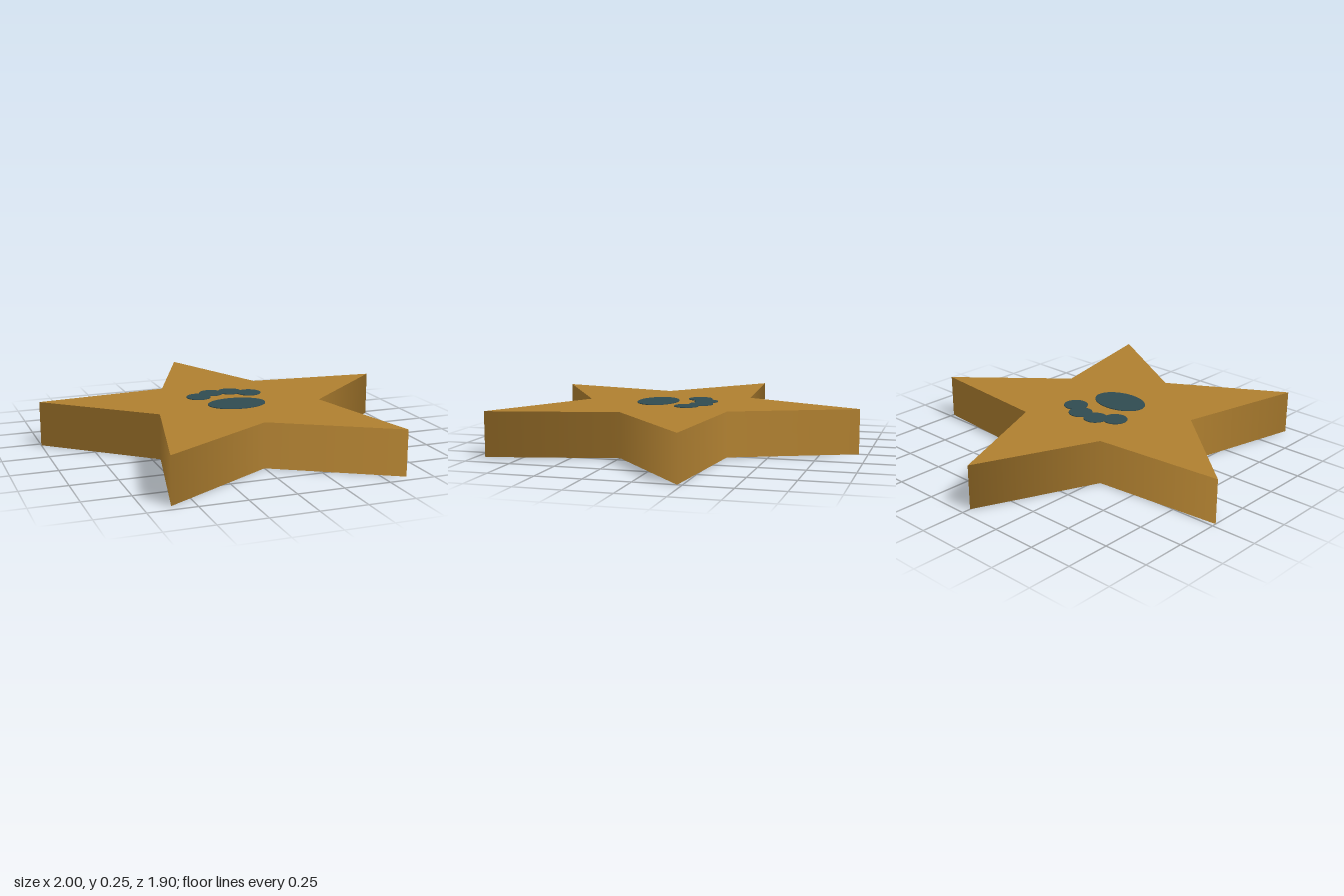
import * as THREE from 'three';

const HEIGHT = 0.246;
const OUTER = 1.0515, INNER = 0.48, CENTER_Z = 0.1;

const gold = new THREE.MeshStandardMaterial({ color: 0xb08030 });
gold.name = 'gold';
const slate = new THREE.MeshStandardMaterial({ color: 0x304b51 });
slate.name = 'darkTeal';

// Five-pointed slab with one tip towards the back and softly shaded walls
function makeStar() {
  const points = [];
  for (let i = 0; i < 10; i++) {
    const a = Math.PI / 2 + (i * Math.PI) / 5;
    const r = i % 2 ? INNER : OUTER;
    points.push(new THREE.Vector2(r * Math.cos(a), r * Math.sin(a)));
  }
  const geo = new THREE.ExtrudeGeometry(new THREE.Shape(points), { depth: HEIGHT, bevelEnabled: false });
  geo.rotateX(-Math.PI / 2);
  // wall normals radiate from the centre so shading flows round the rim
  const pos = geo.attributes.position, nor = geo.attributes.normal;
  for (let i = 0; i < pos.count; i++) {
    if (Math.abs(nor.getY(i)) > 0.5) continue;
    const n = new THREE.Vector3(pos.getX(i), 0, pos.getZ(i)).normalize();
    nor.setXYZ(i, n.x, n.y, n.z);
  }
  const mesh = new THREE.Mesh(geo, gold);
  mesh.name = 'starBody';
  mesh.position.z = CENTER_Z;
  return mesh;
}

// Thin oval plate lying on the star's top face
function makePad(name, x, z, rx, rz) {
  const mesh = new THREE.Mesh(new THREE.CylinderGeometry(1, 1, 0.004, 40), slate);
  mesh.name = name;
  mesh.scale.set(rx, 1, rz);
  mesh.position.set(x, HEIGHT + 0.002, z);
  return mesh;
}

export function createModel() {
  const model = new THREE.Group();
  model.name = 'pawStar';
  model.add(makeStar());

  // Paw print: one large pad and two mirrored pairs of toes
  const paw = new THREE.Group();
  paw.name = 'pawPrint';
  paw.add(makePad('mainPad', 0, 0.178, 0.16, 0.113));
  for (const [side, s] of [['left', 1], ['right', -1]]) {
    paw.add(makePad(side + 'InnerToe', s * 0.056, -0.086, 0.066, 0.066));
    paw.add(makePad(side + 'OuterToe', s * 0.149, -0.027, 0.067, 0.067));
  }
  model.add(paw);
  return model;
}
